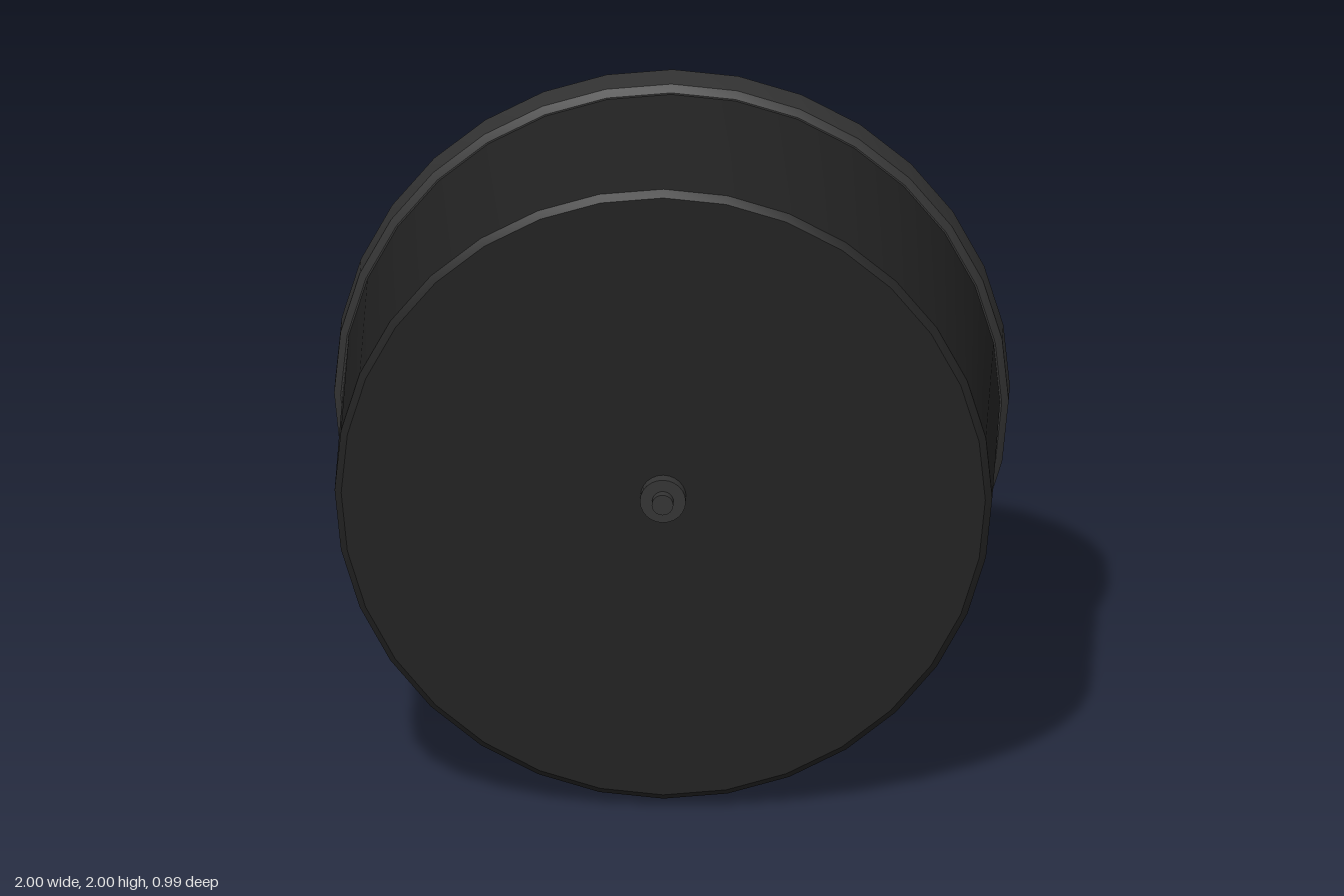
import * as THREE from 'three';
import { toCreasedNormals } from 'three/addons/utils/BufferGeometryUtils.js';

const SIDES = 32;
const BLADES = 16;

const mat = (name, color) => {
  const m = new THREE.MeshStandardMaterial({ color });
  m.name = name;
  return m;
};

// Turned part around the z axis from [radius, z] points, back to front
function turned(name, points, material, sides = SIDES) {
  const lathe = new THREE.LatheGeometry(points.map(([r, z]) => new THREE.Vector2(r, z)), sides);
  lathe.rotateX(Math.PI / 2);
  const mesh = new THREE.Mesh(toCreasedNormals(lathe, 0.5), material);
  mesh.name = name;
  return mesh;
}

export function createModel() {
  const shell = mat('shell black', 0x222222);
  const trim = mat('trim grey', 0x333333);
  const vane = mat('vane black', 0x1f1f1f);

  const model = new THREE.Group();
  model.name = 'drum';
  const drum = new THREE.Group();
  drum.position.y = 1;
  model.add(drum);

  // Drum body with a chamfered front edge
  drum.add(turned('body', [[0, -0.36], [0.975, -0.36], [0.975, 0.41], [0.955, 0.43], [0, 0.43]], shell));

  // Raised rim around the open back
  drum.add(turned('rim', [
    [0.9, -0.335], [0.9, -0.47], [0.92, -0.49], [0.98, -0.49],
    [1, -0.47], [1, -0.355], [0.98, -0.335], [0.9, -0.335],
  ], trim));

  // Stepped knob on the front
  drum.add(turned('knob', [
    [0, 0.42], [0.068, 0.42], [0.068, 0.47], [0.032, 0.47], [0.032, 0.5], [0, 0.5],
  ], trim, 24));

  // Hub in the middle of the back
  drum.add(turned('hub', [[0, -0.46], [0.075, -0.46], [0.085, -0.45], [0.085, -0.36], [0, -0.36]], vane, 16));

  // Tilted fan blades, each with a raised radial rib along its high edge
  const outline = new THREE.Shape([[0.05, 0], [0.87, 0], [0.85, 0.33], [0.05, 0.02]]
    .map(([x, y]) => new THREE.Vector2(x, y)));
  const bladeGeometry = new THREE.ExtrudeGeometry(outline, { depth: 0.03, bevelEnabled: false });
  bladeGeometry.rotateX(0.2).translate(0, 0, -0.43);
  const ribGeometry = new THREE.BoxGeometry(0.81, 0.032, 0.06).translate(0.465, 0, -0.415);

  for (let i = 0; i < BLADES; i++) {
    const pair = new THREE.Group();
    pair.name = 'fanBlade';
    const blade = new THREE.Mesh(bladeGeometry, vane);
    blade.name = 'blade';
    const rib = new THREE.Mesh(ribGeometry, vane);
    rib.name = 'rib';
    pair.add(blade, rib);
    pair.rotation.z = (i / BLADES) * Math.PI * 2;
    drum.add(pair);
  }
  return model;
}
